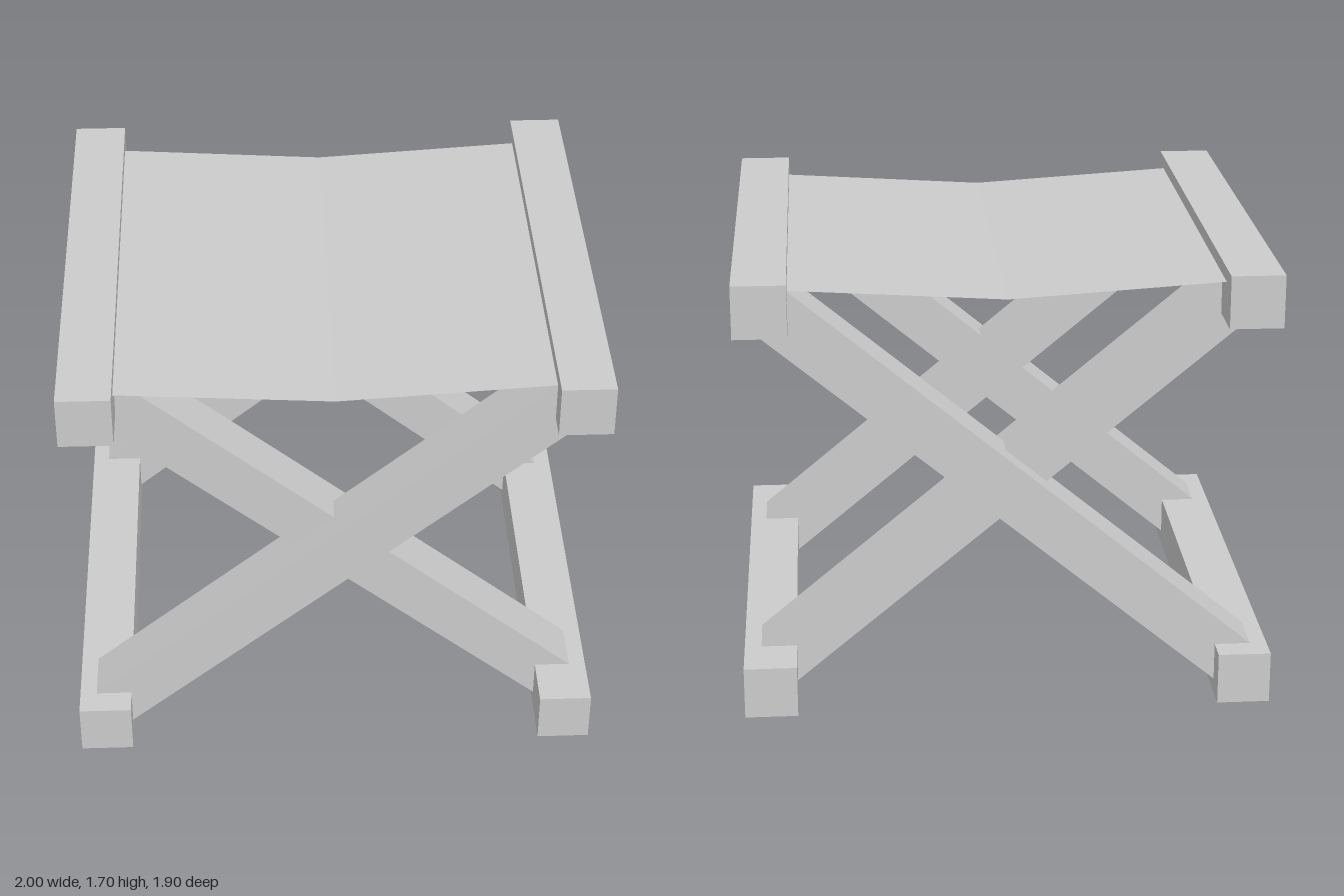
import * as THREE from 'three';

export function createModel() {
  const group = new THREE.Group();
  group.name = 'foldingStool';
  const material = new THREE.MeshStandardMaterial({ color: 0xcccccc, flatShading: true });

  const RAIL_X = 0.9, LOW_Y = 0.1, HIGH_Y = 1.6, BEAM = 0.2;
  const rise = HIGH_Y - LOW_Y, run = 2 * RAIL_X;

  function addBox(name, w, h, d, x, y, z, tilt = 0) {
    const mesh = new THREE.Mesh(new THREE.BoxGeometry(w, h, d), material);
    mesh.name = name;
    mesh.position.set(x, y, z);
    mesh.rotation.z = tilt;
    group.add(mesh);
  }

  // Four square rails running front to back: two on the floor, two holding the seat
  for (const [side, sx] of [['left', 1], ['right', -1]]) {
    addBox(`${side}FootRail`, BEAM, BEAM, 1.9, sx * RAIL_X, LOW_Y, 0);
    addBox(`${side}SeatRail`, BEAM, BEAM, 1.9, sx * RAIL_X, HIGH_Y, 0);
  }

  // Crossed legs at front and back, joined at the middle; one frame sits outside the other
  const length = Math.hypot(run, rise), tilt = Math.atan2(rise, run);
  const midY = (LOW_Y + HIGH_Y) / 2;
  for (const [end, sz] of [['front', 1], ['back', -1]]) {
    addBox(`${end}OuterLeg`, length, BEAM, BEAM, 0, midY, sz * 0.75, tilt);
    addBox(`${end}InnerLeg`, length, BEAM, BEAM, 0, midY, sz * 0.65, -tilt);
  }

  // Thin cloth seat, sagging to a crease in the middle
  const cloth = new THREE.PlaneGeometry(1.6, 1.7, 2, 1).rotateX(-Math.PI / 2);
  const p = cloth.attributes.position;
  for (let i = 0; i < p.count; i++) {
    p.setY(i, 1.6 + 0.05 * Math.abs(p.getX(i)) / 0.8);
  }
  const seatGeometry = cloth.toNonIndexed();
  seatGeometry.computeVertexNormals();
  const seatMaterial = material.clone();
  seatMaterial.side = THREE.DoubleSide;
  const seat = new THREE.Mesh(seatGeometry, seatMaterial);
  seat.name = 'seat';
  group.add(seat);

  return group;
}
